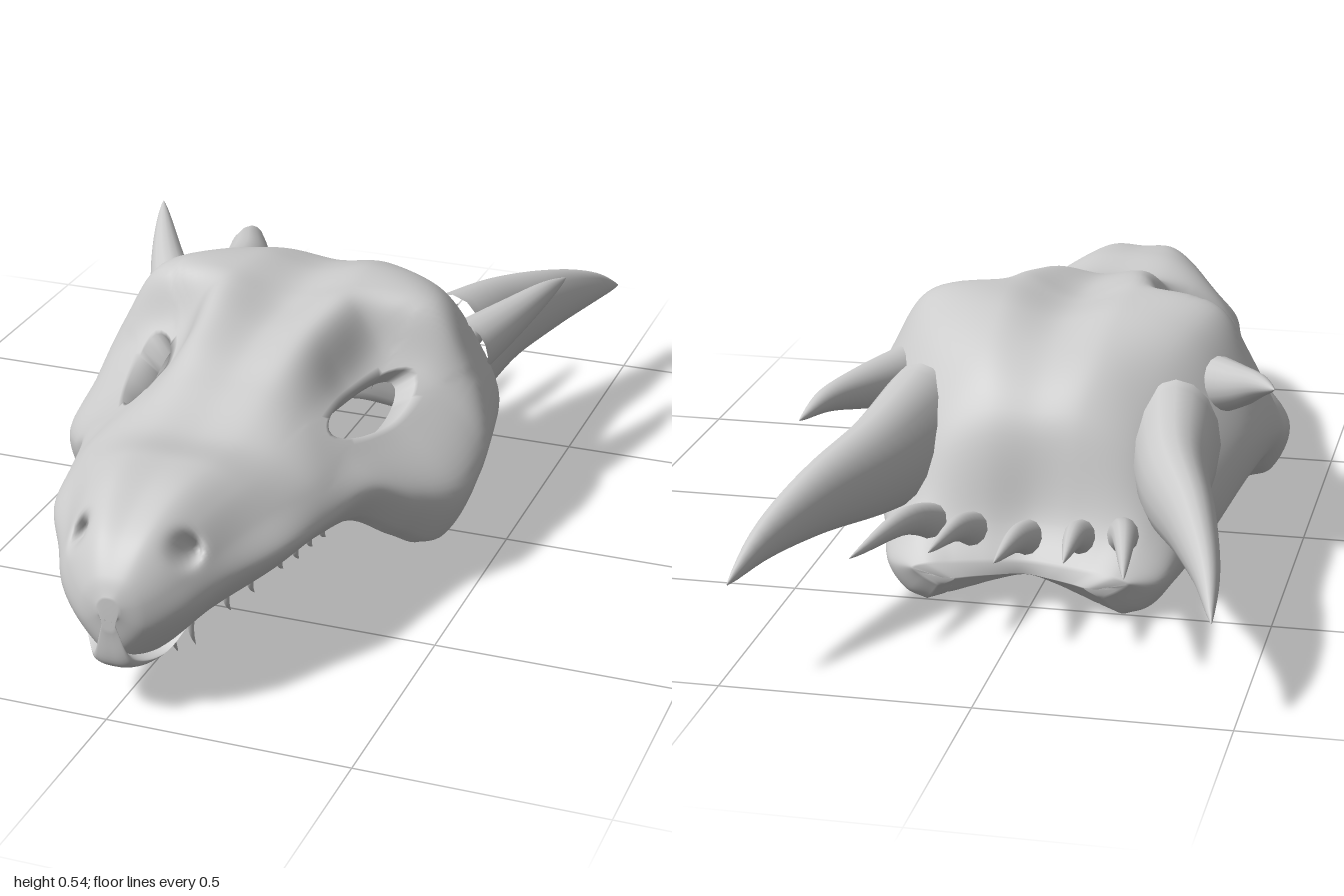
import * as THREE from 'three';
import { mergeVertices } from 'three/addons/utils/BufferGeometryUtils.js';

const bone = new THREE.MeshStandardMaterial({ color: 0xcccccc });
const V = (x, y, z) => new THREE.Vector3(x, y, z);
const { lerp, smoothstep } = THREE.MathUtils;

// Stations from snout to nape, and half-profile tracks of [x, y] at each one
const stationZ = [1, 0.98, 0.92, 0.82, 0.7, 0.55, 0.4, 0.3, 0.2, 0.08, 0, -0.15, -0.3, -0.4, -0.5, -0.55];
const crown = [0.26, 0.3, 0.36, 0.405, 0.42, 0.405, 0.45, 0.48, 0.495, 0.5, 0.505, 0.505, 0.465, 0.37, 0.17, 0.095].map((y) => [0, y]);
const ridge = [[0.01, 0.258], [0.03, 0.296], [0.05, 0.36], [0.07, 0.405], [0.09, 0.415], [0.1, 0.405], [0.1, 0.45], [0.11, 0.49],
  [0.12, 0.515], [0.14, 0.535], [0.14, 0.54], [0.13, 0.53], [0.12, 0.47], [0.1, 0.37], [0.09, 0.17], [0.08, 0.095]];
const brow = [[0.018, 0.25], [0.05, 0.28], [0.09, 0.33], [0.12, 0.37], [0.15, 0.385], [0.18, 0.38], [0.18, 0.4], [0.19, 0.4],
  [0.2, 0.4], [0.23, 0.43], [0.31, 0.515], [0.28, 0.495], [0.22, 0.42], [0.2, 0.32], [0.16, 0.155], [0.14, 0.095]];
const cheekTop = [[0.022, 0.24], [0.065, 0.25], [0.12, 0.28], [0.16, 0.31], [0.205, 0.33], [0.25, 0.33], [0.26, 0.335], [0.285, 0.33],
  [0.315, 0.33], [0.35, 0.355], [0.385, 0.41], [0.37, 0.38], [0.31, 0.32], [0.28, 0.22], [0.23, 0.13], [0.19, 0.095]];
const cheek = [[0.02, 0.225], [0.065, 0.2], [0.13, 0.22], [0.185, 0.25], [0.25, 0.27], [0.285, 0.27], [0.325, 0.27], [0.39, 0.22],
  [0.445, 0.2], [0.455, 0.22], [0.45, 0.24], [0.42, 0.26], [0.36, 0.2], [0.32, 0.13], [0.285, 0.08], [0.22, 0.085]];
const jawRim = [[0.01, 0.215], [0.025, 0.145], [0.06, 0.122], [0.145, 0.185], [0.22, 0.22], [0.26, 0.23], [0.3, 0.21], [0.36, 0.14],
  [0.405, 0.085], [0.415, 0.13], [0.42, 0.18], [0.4, 0.175], [0.34, 0.09], [0.29, 0.035], [0.25, 0.018], [0.2, 0.07]];
const tracks = [crown, ridge, brow, cheekTop, cheek, jawRim];

// How far the inner hollow reaches out (x) and up (y) relative to the outside
const hollowX = [0.6, 0.6, 0.6, 0.77, 0.86, 0.88, 0.88, 0.87, 0.86, 0.86, 0.87, 0.88, 0.85, 0.8, 0.74, 0.75];
const hollowY = [-0.45, -0.25, -0.06, 0.45, 0.7, 0.76, 0.82, 0.85, 0.87, 0.88, 0.89, 0.89, 0.86, 0.78, 0.27, 0.1];

function rowCurve(row, inner) {
  return new THREE.CatmullRomCurve3(stationZ.map((z, i) => {
    const [rx, ry] = jawRim[i];
    const nose = i < 3, nape = i > 13;
    if (row === 6) return V(rx * (0.92 + hollowX[i]) / 2, ry - (nose ? 0.004 : 0.018), z);
    const [x, y] = tracks[row][i];
    const zz = z + (nape ? 0.045 * Math.max(0, 1 - row / 3) : 0);
    if (!inner) return V(x, y, zz);
    // the nape fills in towards its lobes; elsewhere the inner rim is lifted so the lip rolls under
    const reach = hollowY[i] * (nape ? Math.max(0, 1 - row / 3) : 1);
    const innerY = row === 5 ? lerp(ry, cheek[i][1], 0.16 * Math.max(0, reach)) : lerp(ry, y, reach);
    return V(x * (hollowX[i] - (row === 5 ? 0.08 : 0)), innerY, zz);
  }));
}
const rows = [false, true].map((inner) => [0, 1, 2, 3, 4, 5, 6].map((r) => rowCurve(r, inner)));
const LAST = stationZ.length - 1;

// Point on the shell: s runs snout to nape, t from right rim (-6) to left rim (6)
function shellPoint(s, t, inner) {
  const half = rows[inner].map((c) => c.getPoint(s / LAST));
  const right = half.slice(1).reverse().map((p) => V(-p.x, p.y, p.z));
  const p = new THREE.CatmullRomCurve3([...right, ...half]).getPoint((t + 6) / 12);
  if (!inner) { // nostril pits
    const d2 = (Math.abs(p.x) - 0.11) ** 2 + (p.y - 0.33) ** 2 + (p.z - 0.885) ** 2;
    const dent = Math.exp(-d2 / 0.0007);
    p.z -= 0.055 * dent;
    p.y -= 0.025 * dent;
  }
  return p;
}

// Hollow skull shell with two eye openings
function skullGeometry() {
  const per = 10, rowPer = 10;
  const ni = LAST * per, nj = 12 * rowPer, w = nj + 1;
  const eye = { s: 7.6, t: 2.5, a: 1.4, b: 0.4 };
  const S = (i) => i / per, T = (j) => j / rowPer - 6;
  const eyeOffset = (s, t) => [(s - eye.s) / eye.a, (Math.abs(t) - eye.t) / eye.b];
  const boxDist = ([u, v]) => Math.max(Math.abs(u), Math.abs(v));
  const open = (i, j) => boxDist(eyeOffset(S(i + 0.5), T(j + 0.5))) < 1;
  const solid = (i, j) => i >= 0 && j >= 0 && i < ni && j < nj && !open(i, j);
  const pos = [], index = [];
  for (let inner = 0; inner < 2; inner++) {
    for (let i = 0; i <= ni; i++) for (let j = 0; j <= nj; j++) {
      let s = S(i), t = T(j);
      const [u, v] = eyeOffset(s, t);
      const box = boxDist([u, v]);
      if (box > 0.5 && box < 2.2) { // bend the grid so the opening becomes an ellipse
        const k = lerp(box / Math.hypot(u, v), 1, smoothstep(box, 1, 2.2));
        s = eye.s + u * k * eye.a;
        t = Math.sign(t) * (eye.t + v * k * eye.b);
      }
      pos.push(...shellPoint(s, t, inner).toArray());
    }
  }
  const off = (ni + 1) * w;
  for (let i = 0; i < ni; i++) for (let j = 0; j < nj; j++) {
    if (!solid(i, j)) continue;
    const a = i * w + j, b = a + 1, d = a + w, c = d + 1;
    index.push(a, b, c, a, c, d);
    index.push(off + a, off + c, off + b, off + a, off + d, off + c);
    // walls joining outside and inside along every free edge
    const edges = [[a, b, i - 1, j], [b, c, i, j + 1], [c, d, i + 1, j], [d, a, i, j - 1]];
    for (const [p, q, u, v] of edges) {
      if (!solid(u, v)) index.push(q, p, off + p, q, off + p, off + q);
    }
  }
  const g = new THREE.BufferGeometry();
  g.setAttribute('position', new THREE.Float32BufferAttribute(pos, 3));
  g.setIndex(index);
  const merged = mergeVertices(g, 1e-5);
  merged.computeVertexNormals();
  return merged;
}

// Curved tapering spike along a path; tall stretches its section upwards
function spike(name, points, radius, tall = 1, sides = 16, steps = 24) {
  const path = new THREE.CatmullRomCurve3(points.map((p) => V(...p)));
  const g = new THREE.TubeGeometry(path, steps, radius, sides, false);
  g.deleteAttribute('uv');
  g.deleteAttribute('normal');
  const a = g.attributes.position, v = V(0, 0, 0);
  for (let k = 0; k < a.count; k++) {
    const u = Math.floor(k / (sides + 1)) / steps;
    const c = path.getPointAt(u);
    v.fromBufferAttribute(a, k).sub(c).multiplyScalar(Math.max(0.01, (1 - u) ** 0.78));
    v.y *= tall;
    v.add(c);
    a.setXYZ(k, v.x, v.y, v.z);
  }
  const smooth = mergeVertices(g, 1e-6);
  smooth.computeVertexNormals();
  const mesh = new THREE.Mesh(smooth, bone);
  mesh.name = name;
  return mesh;
}

export function createModel() {
  const model = new THREE.Group();
  model.name = 'hornedSkull';
  const body = new THREE.Group();
  body.name = 'skull';
  body.position.x = 0.01;
  model.add(body);

  const shell = new THREE.Mesh(skullGeometry(), bone);
  shell.name = 'skullShell';
  body.add(shell);

  // Teeth along the rim: [z, x, root y, length]
  const teeth = [[0.9, 0.05, 0.15, 0.06], [0.87, 0.075, 0.16, 0.08], [0.84, 0.1, 0.175, 0.09], [0.78, 0.15, 0.205, 0.065],
    [0.73, 0.18, 0.22, 0.06], [0.65, 0.21, 0.225, 0.045], [0.6, 0.225, 0.23, 0.05], [0.55, 0.235, 0.23, 0.045], [0.5, 0.245, 0.225, 0.04]];

  for (const m of [1, -1]) {
    const side = m > 0 ? 'left' : 'right';
    body.add(spike(side + 'GreatHorn', [[0.27, 0.29, -0.27], [0.31, 0.285, -0.5], [0.38, 0.275, -0.7],
      [0.435, 0.247, -0.87], [0.465, 0.208, -1]].map(([x, y, z]) => [m * x, y, z]), 0.095, 1.5));

    // Nape spines beside the middle one
    for (const [x, y, tipX, tipZ] of [[0.11, 0.13, 0.135, -0.755], [0.19, 0.14, 0.27, -0.84]]) {
      body.add(spike(side + 'NapeSpine', [[m * x, y, -0.43], [m * lerp(x, tipX, 0.4), y + 0.06, -0.58],
        [m * tipX, y + 0.075, tipZ]], 0.036, 1.2, 12, 16));
    }
    for (const [z, x, y, len] of teeth) {
      body.add(spike(side + 'Tooth', [[m * x, y, z], [m * x, y - len * 0.6, z - 0.008],
        [m * x, y - len, z - 0.028]], 0.01, 1, 8, 8));
    }
  }
  body.add(spike('middleNapeSpine', [[0, 0.12, -0.42], [0, 0.175, -0.58], [0, 0.2, -0.77]], 0.036, 1.2, 12, 16));

  // Smaller side horns, each with its own sweep
  body.add(spike('leftSideHorn', [[0.34, 0.36, -0.15], [0.39, 0.38, -0.3], [0.43, 0.395, -0.44], [0.45, 0.39, -0.56]], 0.06, 1.1));
  body.add(spike('rightSideHorn', [[-0.33, 0.38, -0.13], [-0.4, 0.42, -0.25], [-0.455, 0.46, -0.36], [-0.5, 0.487, -0.46]], 0.058, 1.1));
  return model;
}
